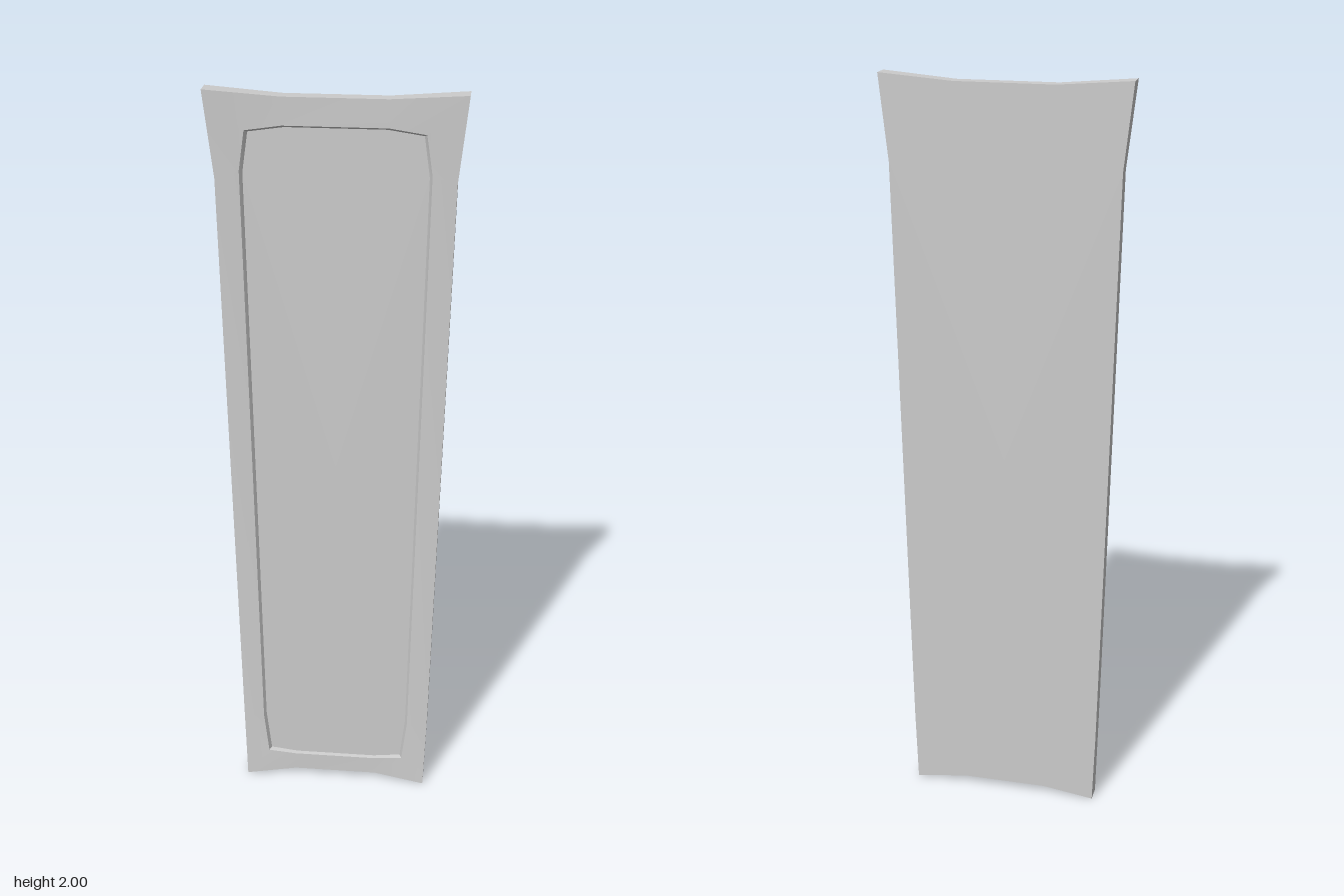
import * as THREE from 'three';
import { toCreasedNormals } from 'three/addons/utils/BufferGeometryUtils.js';

const BACK = -0.026, FLOOR = 0.002;

// Half outlines on the +x side, listed from top to bottom as [x, y, z]
const OUTER = [
  [0.13, 1.985, 0.013], [0.322, 2, 0.023], [0.298, 1.78, 0.013],
  [0.262, 0.2, 0.013], [0.255, 0, 0.023], [0.115, 0.02, 0.013],
];
const INNER = [
  [0.13, 1.915, 0.013], [0.222, 1.902, 0.016], [0.237, 1.8, 0.013],
  [0.206, 0.2, 0.013], [0.192, 0.08, 0.016], [0.115, 0.071, 0.013],
];

// Closed loop from a half outline and its mirror image
const mirrorLoop = (half) => [
  ...half, ...half.slice().reverse().map(([x, y, z]) => [-x, y, z]),
];

// Geometry from triangles, smooth over gentle bends and sharp elsewhere
function surface(triangles) {
  const g = new THREE.BufferGeometry();
  g.setAttribute('position', new THREE.Float32BufferAttribute(triangles.flat(2), 3));
  return toCreasedNormals(g, 0.5);
}

// Strip of quads joining two loops
function band(a, b) {
  const tris = [];
  a.forEach((_, i) => {
    const j = (i + 1) % a.length;
    tris.push([b[i], b[j], a[j]], [b[i], a[j], a[i]]);
  });
  return tris;
}

// Flat cap fanned from the middle of a loop
function cap(loop, facesFront) {
  const centre = [0, 1, loop[0][2]];
  return loop.map((p, i) => {
    const q = loop[(i + 1) % loop.length];
    return facesFront ? [centre, q, p] : [centre, p, q];
  });
}

export function createModel() {
  const group = new THREE.Group();
  group.name = 'recessedPanel';
  const material = new THREE.MeshStandardMaterial({ color: 0xcccccc });
  const add = (name, triangles) => {
    const mesh = new THREE.Mesh(surface(triangles), material);
    mesh.name = name;
    group.add(mesh);
  };

  const front = mirrorLoop(OUTER);
  const back = front.map(([x, y]) => [x, y, BACK]);
  const rim = mirrorLoop(INNER);
  // The recess tapers in slightly towards its floor
  const floor = rim.map(([x, y]) => [
    x * 0.97, y > 1 ? y - 0.006 : y + 0.002, FLOOR,
  ]);

  // Slab edge, curved frame and recess wall
  add('frame', [...band(back, front), ...band(front, rim), ...band(rim, floor)]);
  // Sunken front panel
  add('recessFloor', cap(floor, true));
  // Flat rear face
  add('backFace', cap(back, false));
  return group;
}
